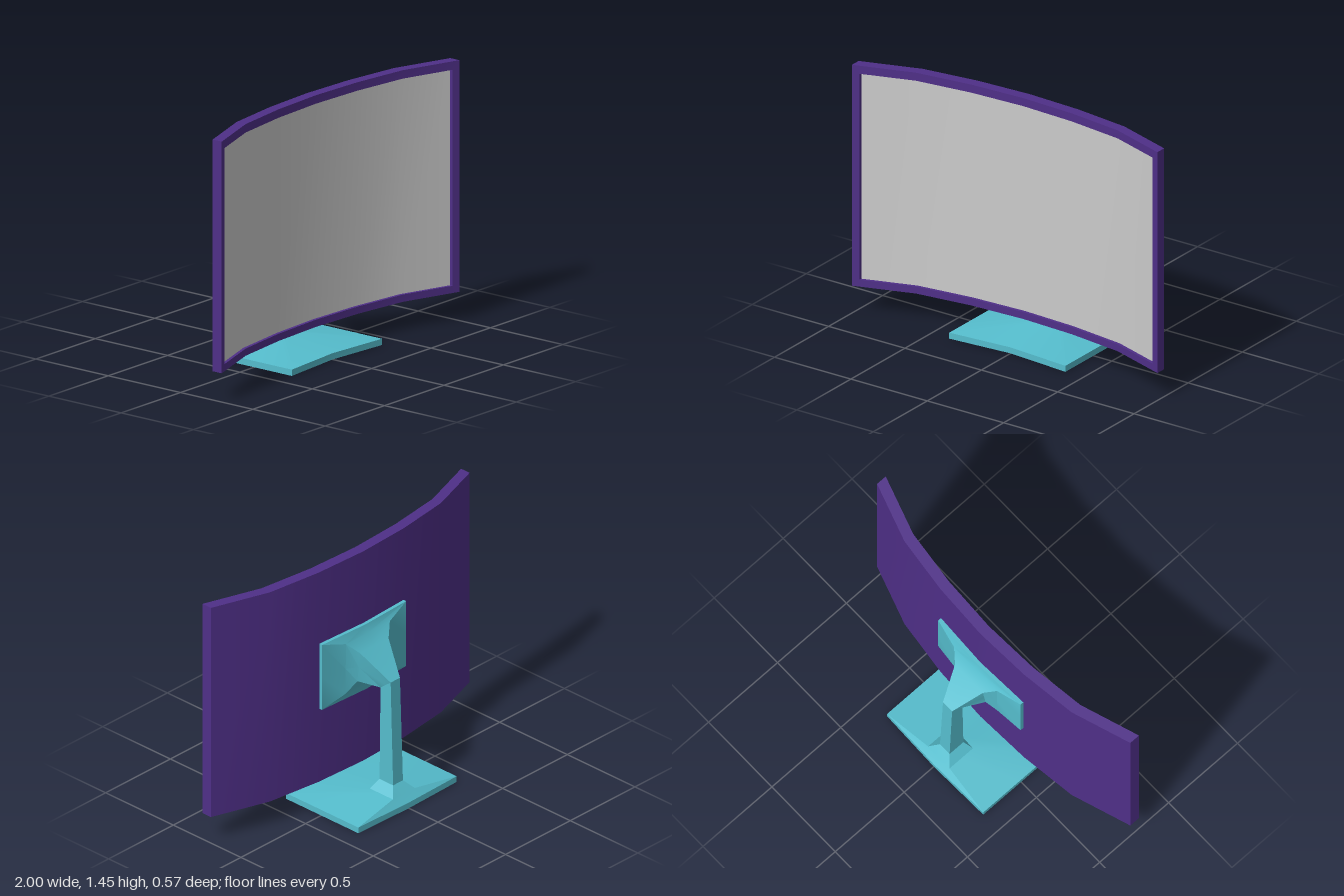
import * as THREE from 'three';
import { toCreasedNormals } from 'three/addons/utils/BufferGeometryUtils.js';

const purple = new THREE.MeshStandardMaterial({ color: 0x4f2f88 });
const teal = new THREE.MeshStandardMaterial({ color: 0x55bdcd, side: THREE.DoubleSide });
const grey = new THREE.MeshStandardMaterial({ color: 0xcccccc });

const CREASE = 0.4;
const THICK = 0.063;

// Depth of the curved front at x, as a few straight facets
const CURVE = [[0, 0.115], [0.33, 0.13], [0.66, 0.172], [1, 0.285]];
function frontZ(x) {
  const ax = Math.abs(x);
  const i = ax < 0.33 ? 0 : ax < 0.66 ? 1 : 2;
  const [x0, z0] = CURVE[i], [x1, z1] = CURVE[i + 1];
  return z0 + (z1 - z0) * (ax - x0) / (x1 - x0);
}
const stations = (w) => [-w, -0.66, -0.33, 0, 0.33, 0.66, w];

// Skin between successive closed rings of equal point count
function loft(rings) {
  const n = rings[0].length, index = [];
  for (let r = 0; r < rings.length - 1; r++) {
    for (let i = 0; i < n; i++) {
      const a = r * n + i, b = r * n + (i + 1) % n;
      index.push(a, b, b + n, a, b + n, a + n);
    }
  }
  const geo = new THREE.BufferGeometry();
  geo.setAttribute('position', new THREE.Float32BufferAttribute(rings.flat(2), 3));
  geo.setIndex(index);
  return toCreasedNormals(geo, CREASE);
}

function mesh(name, geo, material) {
  const m = new THREE.Mesh(geo, material);
  m.name = name;
  return m;
}

// Rectangular outline wrapped on the display curve
function outline(w, y0, y1, dz) {
  const xs = stations(w);
  const row = (list, y) => list.map((x) => [x, y, frontZ(x) + dz]);
  return [...row(xs, y0), ...row([...xs].reverse(), y1)];
}

// Curved sheet facing forward, or backward when flipped
function sheet(w, y0, y1, dz, flip) {
  const geo = new THREE.PlaneGeometry(2 * w, y1 - y0, 6, 1);
  geo.translate(0, (y0 + y1) / 2, 0);
  if (flip) geo.rotateY(Math.PI);
  const p = geo.attributes.position, xs = stations(w);
  for (let i = 0; i < p.count; i++) {
    const x = xs[Math.round((p.getX(i) / w + 1) * 3)];
    p.setX(i, x);
    p.setZ(i, frontZ(x) + dz);
  }
  geo.computeVertexNormals();
  return geo;
}

// Eight-point stand section: front and back edges as [y, z], with bowed middles
function section(w, [fy, fz], [by, bz], bowF = 0, bowB = bowF) {
  const my = (fy + by) / 2, mz = (fz + bz) / 2;
  return [
    [w, fy, fz], [w, my, mz], [w, by, bz], [0, by, bz + bowB],
    [-w, by, bz], [-w, my, mz], [-w, fy, fz], [0, fy, fz + bowF],
  ];
}

export function createModel() {
  const model = new THREE.Group();
  model.name = 'monitor';

  // Curved display: outer shell, bezel and recessed panel
  const display = new THREE.Group();
  display.name = 'display';
  display.add(
    mesh('bezel', loft([
      outline(1, 0.16, 1.45, -THICK),
      outline(1, 0.16, 1.45, 0),
      outline(0.96, 0.2, 1.403, 0),
      outline(0.96, 0.2, 1.403, -0.02),
    ]), purple),
    mesh('backCover', sheet(1, 0.16, 1.45, -THICK, true), purple),
    mesh('screen', sheet(0.96, 0.2, 1.403, -0.018, false), grey),
  );

  // Stand: hollow foot rising into the column
  const stand = new THREE.Group();
  stand.name = 'stand';
  const columnFoot = section(0.038, [0.125, -0.105], [0.125, -0.205]);
  const columnTop = section(0.036, [0.69, -0.11], [0.75, -0.185]);
  stand.add(
    mesh('foot', loft([
      section(0.38, [0, 0.26], [0, -0.275], -0.03, -0.01),
      section(0.38, [0.035, 0.26], [0.035, -0.275], -0.03, -0.01),
      section(0.085, [0.075, -0.078], [0.075, -0.248]),
      columnFoot,
    ]), teal),
    mesh('column', loft([columnFoot, columnTop]), teal),
    // Arm flaring out into the mounting plate
    mesh('arm', loft([
      columnTop,
      section(0.11, [0.72, -0.01], [0.9, -0.03]),
      section(0.17, [0.655, 0.02], [0.962, 0.018]),
      section(0.325, [0.61, 0.046], [1.01, 0.046], -0.015),
      section(0.325, [0.61, 0.066], [1.01, 0.066], -0.015),
    ]), teal),
  );

  model.add(display, stand);
  return model;
}
